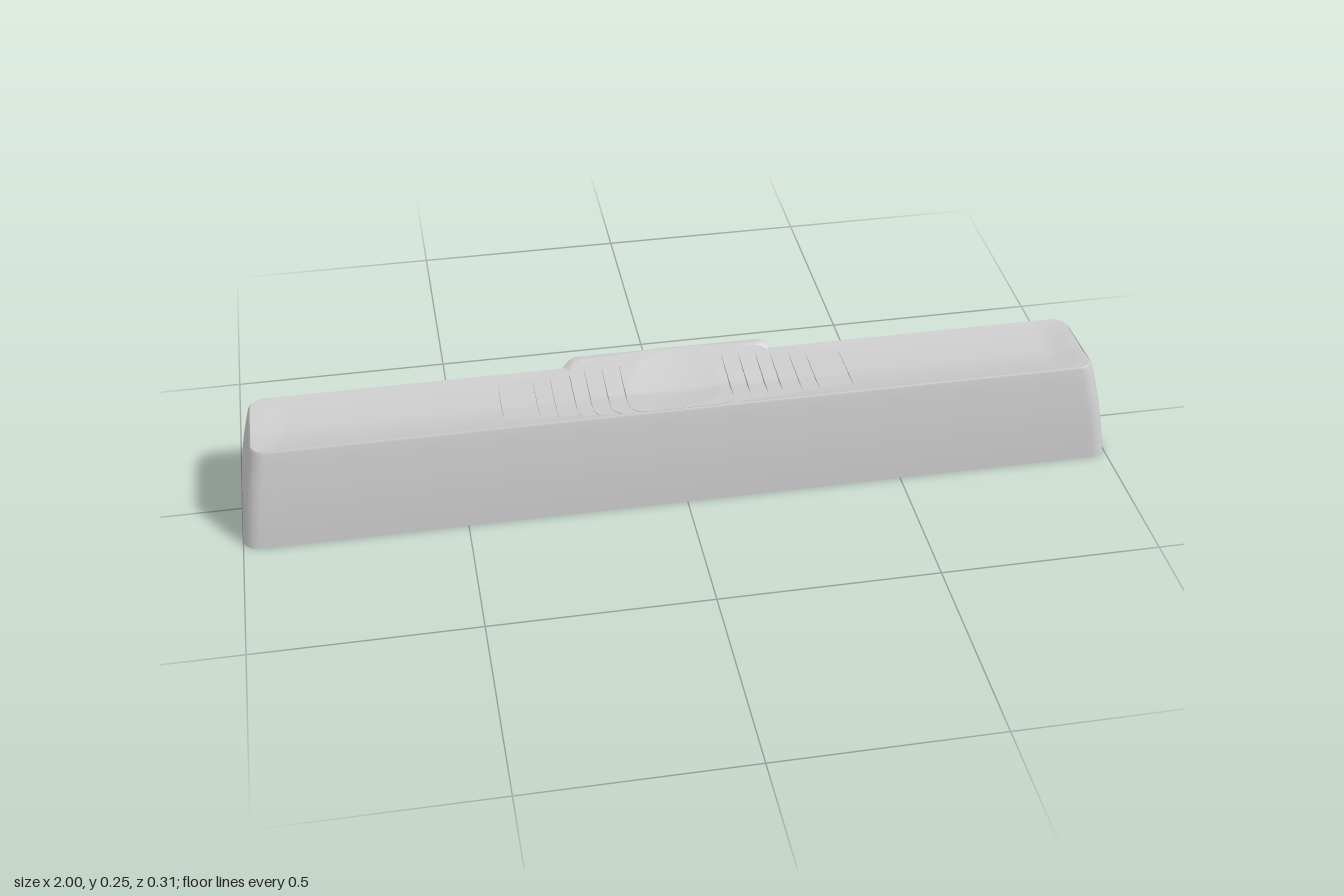
import * as THREE from 'three';

const mat = new THREE.MeshStandardMaterial({ color: 0xcccccc, roughness: 0.7 });
const { smoothstep, lerp } = THREE.MathUtils;

// Rounded rectangle outline in x/z, counter-clockwise from above, long sides finely divided
function outline(hx, hz, r, seg = 120) {
  const pts = [];
  const corner = (cx, cz, a0) => {
    for (let i = 0; i <= 6; i++) {
      const a = a0 + (i / 6) * Math.PI / 2;
      pts.push([cx + r * Math.cos(a), cz - r * Math.sin(a)]);
    }
  };
  const side = (z, dir) => {
    for (let i = 1; i < seg; i++) pts.push([dir * lerp(-(hx - r), hx - r, i / seg), z]);
  };
  corner(hx - r, -(hz - r), 0);
  side(-hz, -1);
  corner(-(hx - r), -(hz - r), Math.PI / 2);
  corner(-(hx - r), hz - r, Math.PI);
  side(hz, 1);
  corner(hx - r, hz - r, Math.PI * 1.5);
  return pts;
}

// Skin between rings of equal point count; every ring is closed
function loft(name, rings) {
  const n = rings[0].length, pos = rings.flat(2), idx = [];
  for (let j = 0; j < rings.length - 1; j++) {
    for (let i = 0; i < n; i++) {
      const k = (i + 1) % n, a = j * n + i, b = j * n + k;
      idx.push(a, b, b + n, a, b + n, a + n);
    }
  }
  const g = new THREE.BufferGeometry();
  g.setAttribute('position', new THREE.Float32BufferAttribute(pos, 3));
  g.setIndex(idx);
  g.computeVertexNormals();
  const mesh = new THREE.Mesh(g, mat);
  mesh.name = name;
  return mesh;
}

const ring = (pts, y, s = 1) =>
  pts.map(([x, z]) => [x, typeof y === 'function' ? y(x, z * s) : y, z * s]);
const spans = Array.from({ length: 15 }, (_, i) => 1 - i / 14);

// Height of the end lips: front rim rises a little, the rest is level
const lip = z => 0.22 + 0.01 * Math.max(0, (z - 0.02) / 0.09);
// Round finger dish in the middle
const dip = (x, z) => 0.006 * Math.max(0, 1 - (x * x + z * z) / 0.01);

// Long concave top with the raised lip at the back centre
function topHeight(x, z) {
  const hollow = 0.011 * Math.max(0, 1 - (z / 0.11) ** 2) * (1 - smoothstep(Math.abs(x), 0.88, 0.96));
  const centre = 1 - smoothstep(Math.abs(x), 0.225, 0.242);
  const back = 0.012 * Math.max(0, Math.min(1, (0.02 - z) / 0.12)) + 0.016 * smoothstep(-z, 0.1, 0.11);
  return lip(z) - hollow + centre * back - dip(x, z);
}

export function createModel() {
  const model = new THREE.Group();

  // Tapered outer wall
  const wall = [];
  for (let i = 0; i <= 8; i++) {
    const t = i / 8, bulge = 0.004 * Math.sin(Math.PI * t);
    const pts = outline(1 - 0.038 * t + bulge, 0.153 - 0.04 * t + bulge, 0.035);
    wall.push(pts.map(([x, z]) => [x, t * (topHeight(x, z / (1.37 - 0.37 * t)) - 0.005), z]));
  }
  wall.push(ring(outline(0.958, 0.11, 0.034), topHeight));
  model.add(loft('outerWall', wall));

  // Concave top
  const topPts = outline(0.958, 0.11, 0.034);
  model.add(loft('concaveTop', spans.map(s => ring(topPts, topHeight, s))));

  // Hollow underside
  const outerFoot = outline(1, 0.153, 0.035);
  const innerFoot = outline(0.978, 0.132, 0.025);
  const innerTop = outline(0.945, 0.095, 0.025);
  model.add(loft('bottomRim', [ring(innerFoot, 0), ring(outerFoot, 0)]));
  model.add(loft('innerWall', [ring(innerTop, 0.185), ring(innerFoot, 0)]));
  model.add(loft('ceiling', [ring(innerTop, 0.185, 0), ring(innerTop, 0.185)]));

  // Nested terraces climbing to the centre, each tipped up towards the back
  const terraces = new THREE.Group();
  terraces.name = 'terraces';
  const halfWidths = [0.4, 0.32, 0.28, 0.235, 0.2, 0.16, 0.12];
  const backHeights = [0.223, 0.226, 0.229, 0.24, 0.243, 0.246, 0.248];
  halfWidths.forEach((w, i) => {
    const pts = outline(w, 0.106, 0.04, 40);
    const height = (x, z) => {
      const back = (backHeights[i] - 0.22) * Math.max(0, (0.02 - z) / 0.126);
      return lip(z) + back - 0.0012 * (6 - i) - dip(x, z);
    };
    const step = new THREE.Group();
    step.name = 'terrace' + (i + 1);
    step.add(loft('riser', [ring(pts, 0.195), ring(pts, height)]));
    step.add(loft('tread', spans.map(s => ring(pts, height, s))));
    terraces.add(step);
  });
  model.add(terraces);

  // Trapezoid plate across the cavity, from y0 up to the ceiling
  const plate = (name, x, width, y0) => {
    const half = y => 0.134 - 0.037 * (y / 0.185);
    const s = new THREE.Shape();
    s.moveTo(-half(y0), y0);
    s.lineTo(half(y0), y0);
    s.lineTo(half(0.19), 0.19);
    s.lineTo(-half(0.19), 0.19);
    const g = new THREE.ExtrudeGeometry(s, { depth: width, bevelEnabled: false });
    g.translate(0, 0, -width / 2).rotateY(Math.PI / 2);
    const mesh = new THREE.Mesh(g, mat);
    mesh.name = name;
    mesh.position.x = x;
    model.add(mesh);
  };

  // Ribbed blocks under the terraces
  for (const side of [-1, 1]) {
    plate('ribBlock', side * 0.26, 0.28, 0.085);
    for (let i = 0; i < 6; i++) plate('rib', side * (0.15 + i * 0.042), 0.022, 0.065);
  }

  // Cross-shaped mounting stems
  for (const x of [-0.85, 0, 0.85]) {
    const stem = new THREE.Group();
    stem.name = 'stem';
    for (const [w, d] of [[0.07, 0.022], [0.022, 0.07]]) {
      const bar = new THREE.Mesh(new THREE.BoxGeometry(w, 0.15, d), mat);
      bar.name = 'stemBar';
      bar.position.y = 0.115;
      stem.add(bar);
    }
    stem.position.x = x;
    model.add(stem);
  }
  return model;
}
